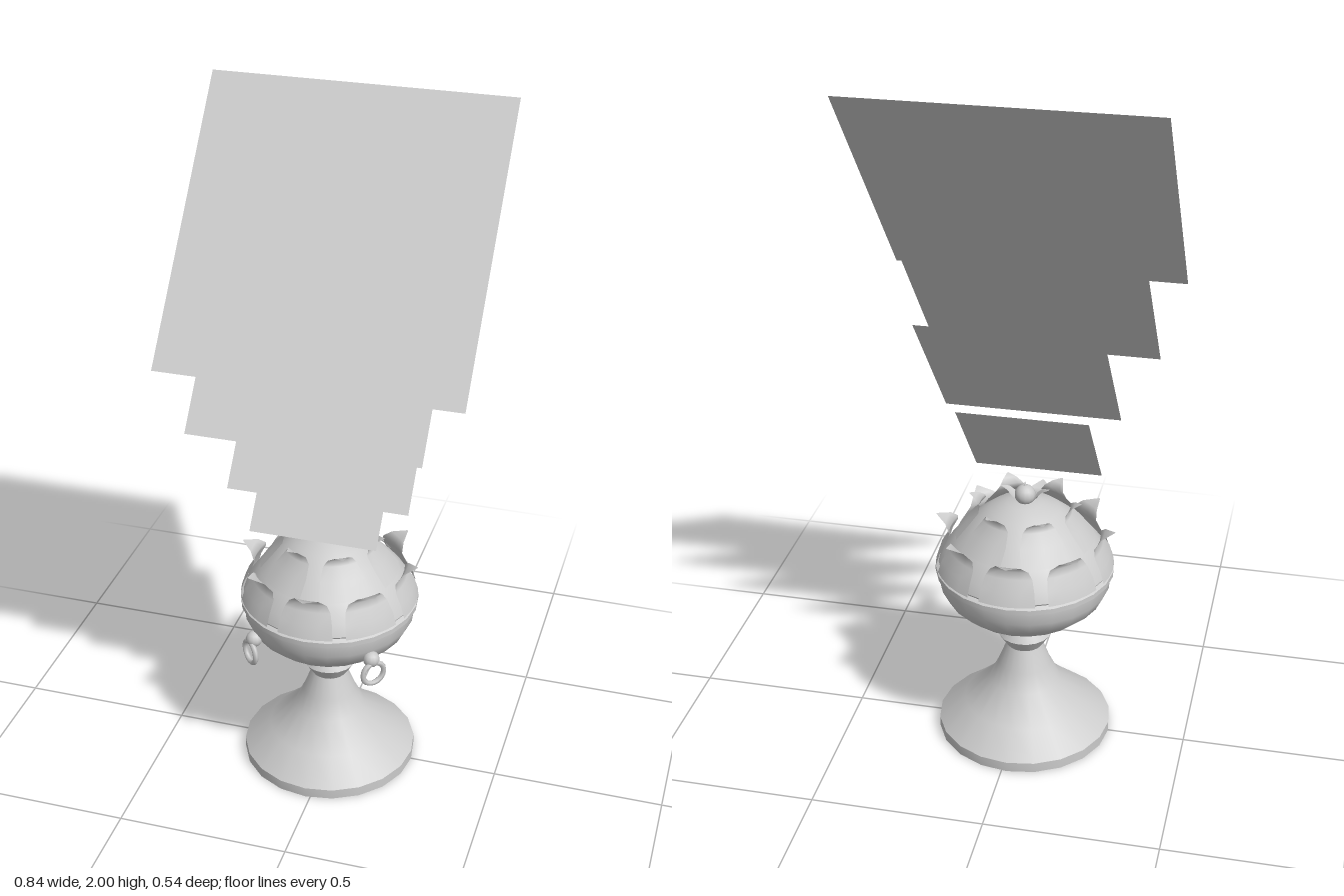
import * as THREE from 'three';
import { toCreasedNormals } from 'three/addons/utils/BufferGeometryUtils.js';

export function createModel() {
  const model = new THREE.Group();
  const grey = new THREE.MeshStandardMaterial({ color: 0xcccccc, side: THREE.DoubleSide });
  grey.name = 'pale grey';

  function add(parent, name, geometry, x = 0, y = 0, z = 0) {
    const mesh = new THREE.Mesh(geometry, grey);
    mesh.name = name;
    mesh.position.set(x, y, z);
    parent.add(mesh);
    return mesh;
  }

  function lathe(points, sides = 20) {
    const g = new THREE.LatheGeometry(points.map(p => new THREE.Vector2(...p)), sides);
    return toCreasedNormals(g, 0.55);
  }

  // Curved leaf: rows of [radius, height, half width], wrapped about the axis
  function leaf(rows, columns = 4) {
    const positions = [], index = [];
    rows.forEach(([r, y, w], j) => {
      for (let i = 0; i <= columns; i++) {
        const a = (i / columns * 2 - 1) * w / r;
        positions.push(r * Math.sin(a), y, r * Math.cos(a));
        if (j && i) {
          const d = j * (columns + 1) + i, c = d - 1, b = d - columns - 1, e = b - 1;
          index.push(e, b, d, e, d, c);
        }
      }
    });
    const g = new THREE.BufferGeometry();
    g.setAttribute('position', new THREE.Float32BufferAttribute(positions, 3));
    g.setIndex(index);
    g.computeVertexNormals();
    return g;
  }

  function petalRow(parent, name, rows, count, offset = 0) {
    const geometry = leaf(rows);
    for (let i = 0; i < count; i++) {
      add(parent, name, geometry).rotation.y = offset + i * Math.PI * 2 / count;
    }
  }

  const burner = new THREE.Group();
  burner.name = 'burner';
  burner.position.x = -0.015;
  model.add(burner);

  // Hollow foot, stem and collar
  add(burner, 'foot', lathe([[0.257, 0], [0.257, 0.03], [0.18, 0.095], [0.105, 0.165],
    [0.078, 0.22], [0.053, 0.285]]));
  add(burner, 'collar', lathe([[0.053, 0.285], [0.079, 0.325], [0.055, 0.36]]));

  // Bowl with rim
  add(burner, 'bowl', lathe([[0, 0.358], [0.06, 0.36], [0.12, 0.39], [0.185, 0.426],
    [0.228, 0.465], [0.248, 0.505], [0.25, 0.54], [0.259, 0.545], [0.259, 0.56], [0.245, 0.568]], 24));

  // Lid dome
  add(burner, 'lid', lathe([[0.245, 0.563], [0.25, 0.572], [0.235, 0.605], [0.2, 0.65],
    [0.15, 0.702], [0.1, 0.742], [0.05, 0.762], [0, 0.768]], 24));

  // Two rows of curling petals
  petalRow(burner, 'lowerPetal', [[0.258, 0.568, 0.082], [0.246, 0.605, 0.078], [0.226, 0.64, 0.068],
    [0.218, 0.66, 0.055], [0.23, 0.68, 0.035], [0.262, 0.692, 0.002]], 8);
  petalRow(burner, 'upperPetal', [[0.2, 0.655, 0.075], [0.165, 0.7, 0.066], [0.135, 0.735, 0.05],
    [0.13, 0.752, 0.036], [0.143, 0.766, 0.02], [0.163, 0.772, 0.002]], 6, Math.PI / 6);

  // Finial bead with a pair of leaves
  add(burner, 'finialBead', new THREE.SphereGeometry(0.03, 14, 10), 0, 0.786, 0);
  petalRow(burner, 'finialLeaf', [[0.02, 0.765, 0.012], [0.038, 0.785, 0.022], [0.05, 0.802, 0.014],
    [0.07, 0.808, 0.002]], 2, Math.PI / 2);
  add(burner, 'finialTip', new THREE.ConeGeometry(0.009, 0.026, 6), 0, 0.816, 0);

  // Hanging ring handles on the front corners
  for (const side of [-1, 1]) {
    const handle = new THREE.Group();
    handle.name = side > 0 ? 'leftHandle' : 'rightHandle';
    handle.rotation.y = side * Math.PI / 4;
    burner.add(handle);
    add(handle, 'stud', new THREE.SphereGeometry(0.024, 12, 8), 0, 0.478, 0.247);
    add(handle, 'ring', new THREE.TorusGeometry(0.034, 0.008, 6, 16), 0, 0.437, 0.26);
  }

  // Tilted square smoke sheets, growing upward: [size, x, y]
  const sheets = [[0.37, -0.03, 0.947], [0.515, -0.0025, 1.162], [0.66, -0.03, 1.398], [0.842, 0, 1.678]];
  for (const [size, x, y] of sheets) {
    add(model, 'smokeSheet', new THREE.PlaneGeometry(size, size), x, y, 0).rotation.x = -0.7;
  }
  return model;
}
